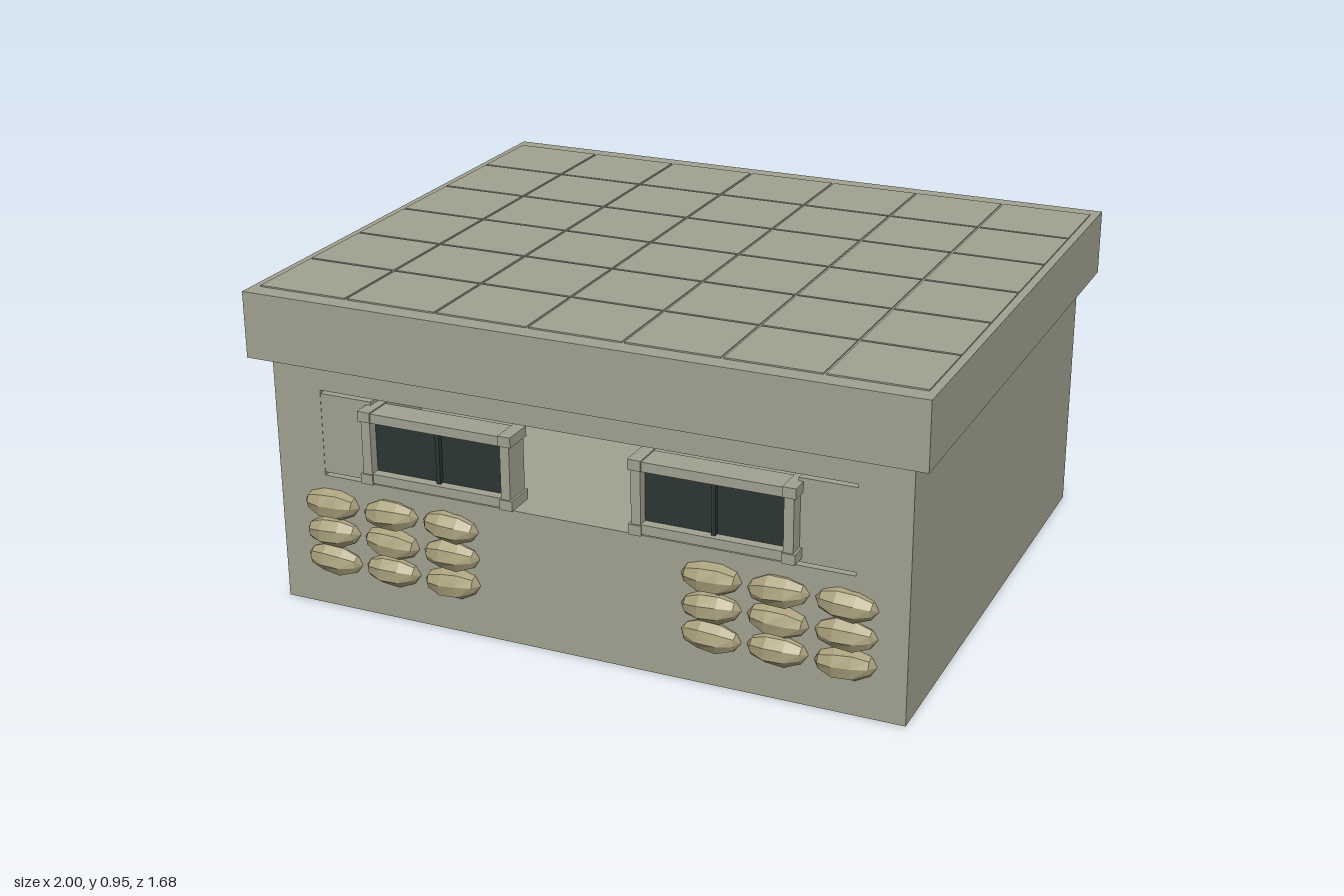
import * as THREE from 'three';

const mat = (name, color) => {
  const m = new THREE.MeshStandardMaterial({ color });
  m.name = name;
  return m;
};

export function createModel() {
  const concrete = mat('concrete', 0xa2a292);
  const glass = mat('dark glass', 0x2d3635);
  const steel = mat('blue grey steel', 0x56656a);
  const sack = mat('sandbag cloth', 0xaca27e);
  const model = new THREE.Group();
  model.name = 'bunker';

  const group = (name) => {
    const g = new THREE.Group();
    g.name = name;
    model.add(g);
    return g;
  };
  const add = (parent, name, geometry, material) => {
    const mesh = new THREE.Mesh(geometry, material);
    mesh.name = name;
    parent.add(mesh);
    return mesh;
  };
  // Box given by its lower and upper limits on each axis
  const box = (parent, name, material, x0, x1, y0, y1, z0, z1) => {
    const mesh = add(parent, name, new THREE.BoxGeometry(x1 - x0, y1 - y0, z1 - z0), material);
    mesh.position.set((x0 + x1) / 2, (y0 + y1) / 2, (z0 + z1) / 2);
    return mesh;
  };
  const rect = (path, x, y0, y1) =>
    path.moveTo(-x, y0).lineTo(x, y0).lineTo(x, y1).lineTo(-x, y1).closePath();

  // Walls: front half with a long firing slit, solid rear half
  const walls = group('walls');
  const outline = rect(new THREE.Shape(), 0.95, 0, 0.755);
  outline.holes.push(rect(new THREE.Path(), 0.8, 0.41, 0.67));
  const front = add(walls, 'frontWall',
    new THREE.ExtrudeGeometry(outline, { depth: 0.64, bevelEnabled: false }), concrete);
  front.position.z = 0.15;
  box(walls, 'rearBlock', concrete, -0.95, 0.95, 0, 0.755, -0.79, 0.15);

  // Roof slab with a grid of thin paving tiles
  const roof = group('roof');
  box(roof, 'roofSlab', concrete, -1, 1, 0.755, 0.951, -0.84, 0.84);
  const tileX = 0.28, tileZ = 0.263;
  for (let i = 0; i < 7; i++) {
    for (let j = 0; j < 6; j++) {
      const x = (i - 3) * tileX, z = (j - 2.5) * tileZ;
      box(roof, 'roofTile', concrete, x - tileX / 2 + 0.004, x + tileX / 2 - 0.004,
        0.95, 0.955, z - tileZ / 2 + 0.004, z + tileZ / 2 - 0.004);
    }
  }

  // Framed windows, with filler panels closing the outer ends of the slit
  for (const s of [-1, 1]) {
    const win = group(s > 0 ? 'leftWindow' : 'rightWindow');
    win.position.x = s * 0.412;
    for (const e of [-1, 1]) {
      const px = e * 0.217;
      box(win, 'windowPost', concrete, px - 0.014, px + 0.014, 0.44, 0.64, 0.75, 0.835);
      const py = 0.541 + e * 0.091;
      box(win, 'windowRail', concrete, -0.205, 0.205, py - 0.014, py + 0.014, 0.75, 0.835);
      for (const f of [-1, 1]) {
        const cx = f * 0.219, cy = 0.541 + e * 0.094;
        box(win, 'cornerBlock', concrete, cx - 0.019, cx + 0.019, cy - 0.015, cy + 0.015, 0.745, 0.84);
      }
    }
    box(win, 'windowPane', glass, -0.206, 0.206, 0.453, 0.62, 0.796, 0.805);
    box(win, 'windowBar', glass, -0.006, 0.006, 0.455, 0.618, 0.8, 0.82);
    box(win, 'fillerPanel', concrete, s > 0 ? 0.225 : -0.388, s > 0 ? 0.388 : -0.225,
      0.42, 0.66, 0.72, 0.789);
  }

  // Faceted sandbags: a low-poly ball stretched along x and slightly skewed
  const bagGeometry = (seed) => {
    const g = new THREE.SphereGeometry(1, 8, 5).rotateZ(Math.PI / 2).rotateX(seed);
    const p = g.attributes.position;
    for (let i = 0; i < p.count; i++) {
      const x = p.getX(i), y = p.getY(i), z = p.getZ(i);
      const swell = 1.06 + 0.08 * Math.sin(4 * x + 3 * y + 2 * z + seed * 3);
      p.setXYZ(i, x * 0.088, (y * swell + 0.12 * x) * 0.045, z * swell * 0.041);
    }
    const flat = g.toNonIndexed();
    flat.computeVertexNormals();
    return flat;
  };
  const bags = group('sandbags');
  const bagShapes = [0.2, 0.45, 0.7].map(bagGeometry);
  for (const start of [-0.78, 0.395]) {
    for (let col = 0; col < 3; col++) {
      for (let row = 0; row < 3; row++) {
        const bag = add(bags, 'sandbag', bagShapes[(col + row) % 3], sack);
        bag.position.set(start + col * 0.192, 0.152 + row * 0.087, 0.792);
        bag.rotation.z = -0.06 + 0.06 * ((col + 2 * row) % 3 - 1);
      }
    }
  }

  // Double steel door on the back wall
  const door = group('backDoor');
  for (const s of [-1, 1]) {
    const x = s * 0.205;
    box(door, 'doorPost', steel, x - 0.018, x + 0.018, 0.1, 0.71, -0.835, -0.78);
    const y = 0.405 + s * 0.303;
    box(door, 'doorRail', steel, -0.2, 0.2, y - 0.014, y + 0.014, -0.833, -0.78);
    for (const e of [-1, 1]) {
      const cx = e * 0.207, cy = 0.405 + s * 0.305;
      box(door, 'doorCorner', steel, cx - 0.023, cx + 0.023, cy - 0.016, cy + 0.016, -0.84, -0.78);
    }
    // Leaf made of three planks, with a handle
    for (let i = 0; i < 3; i++) {
      const px = s * (0.036 + i * 0.06);
      box(door, 'doorPlank', steel, px - 0.028, px + 0.028, 0.115, 0.695, -0.812 - (i % 2) * 0.003, -0.78);
    }
    box(door, 'doorHandle', steel, s * 0.03 - 0.005, s * 0.03 + 0.005, 0.37, 0.42, -0.825, -0.81);
  }
  box(door, 'doorBacking', steel, -0.19, 0.19, 0.115, 0.695, -0.806, -0.78);
  box(door, 'doorMiddleStrip', steel, -0.008, 0.008, 0.115, 0.695, -0.822, -0.78);

  return model;
}
